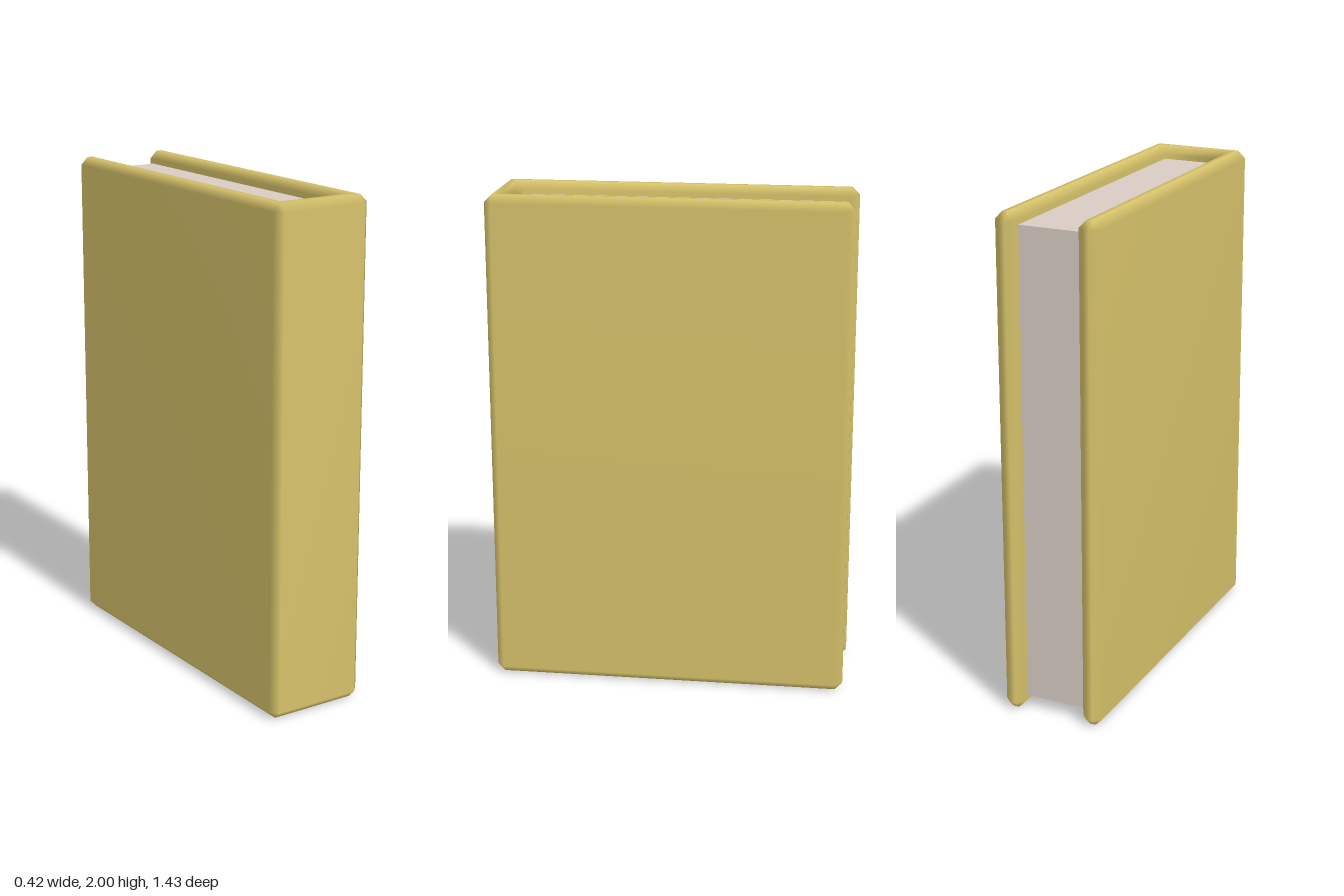
import * as THREE from 'three';
import { mergeVertices } from 'three/addons/utils/BufferGeometryUtils.js';

const HEIGHT = 2, BEVEL = 0.03;
const HALF_W = 0.21, HALF_D = 0.715, BOARD = 0.083;
const INNER_W = HALF_W - BOARD, INNER_Z = HALF_D - BOARD - 0.007;

// U-shaped outline of the cover in x and z, starting at the spine
const OUTLINE = [
  [-HALF_W, HALF_D], [HALF_W, HALF_D], [HALF_W, -HALF_D], [INNER_W, -HALF_D],
  [INNER_W, INNER_Z], [-INNER_W, INNER_Z], [-INNER_W, -HALF_D], [-HALF_W, -HALF_D],
].map(([x, z]) => new THREE.Vector2(x, z));

// Cover built from four rings: inset bottom, two chamfered walls, inset top
function coverGeometry() {
  const n = OUTLINE.length;
  const wall = [], inset = [];
  OUTLINE.forEach((p, i) => {
    const a = p.clone().sub(OUTLINE[(i + n - 1) % n]).normalize(); // incoming edge
    const b = OUTLINE[(i + 1) % n].clone().sub(p).normalize();     // outgoing edge
    const cut = (i === 4 || i === 5) ? 0 : BEVEL;                  // inner corners stay sharp
    wall.push(p.clone().addScaledVector(a, -cut), p.clone().addScaledVector(b, cut));
    const q = new THREE.Vector2(p.x + BEVEL * (a.y + b.y), p.y - BEVEL * (a.x + b.x));
    inset.push(q, q);
  });

  const rings = [[inset, 0], [wall, BEVEL], [wall, HEIGHT - BEVEL], [inset, HEIGHT]];
  const positions = [], index = [], m = 2 * n;
  for (const [ring, y] of rings) for (const p of ring) positions.push(p.x, y, p.y);

  // Walls and bevels
  for (let r = 0; r < 3; r++) {
    for (let i = 0; i < m; i++) {
      const j = (i + 1) % m, lo = r * m, hi = lo + m;
      index.push(lo + i, lo + j, hi + j, lo + i, hi + j, hi + i);
    }
  }
  // Flat ends
  const contour = inset.filter((_, i) => i % 2 === 0).map(p => new THREE.Vector2(p.x, -p.y));
  for (const [a, b, c] of THREE.ShapeUtils.triangulateShape(contour, [])) {
    index.push(3 * m + 2 * a, 3 * m + 2 * b, 3 * m + 2 * c);
    index.push(2 * a, 2 * c, 2 * b);
  }

  let geometry = new THREE.BufferGeometry();
  geometry.setAttribute('position', new THREE.Float32BufferAttribute(positions, 3));
  geometry.setIndex(index);
  geometry = mergeVertices(geometry);

  // Drop collapsed triangles, then smooth
  const id = geometry.index.array, kept = [];
  for (let i = 0; i < id.length; i += 3) {
    const [a, b, c] = [id[i], id[i + 1], id[i + 2]];
    if (a !== b && b !== c && c !== a) kept.push(a, b, c);
  }
  geometry.setIndex(kept);
  geometry.computeVertexNormals();
  return geometry;
}

export function createModel() {
  const coverMaterial = new THREE.MeshStandardMaterial({ color: 0xd6c26a });
  coverMaterial.name = 'mustard cover';
  const pageMaterial = new THREE.MeshStandardMaterial({ color: 0xd8ccc4 });
  pageMaterial.name = 'pale paper';

  const book = new THREE.Group();
  book.name = 'book';

  const cover = new THREE.Mesh(coverGeometry(), coverMaterial);
  cover.name = 'cover';
  book.add(cover);

  // Page block, set back from the cover edges
  const back = -0.665, front = INNER_Z + 0.01;
  const pages = new THREE.Mesh(
    new THREE.BoxGeometry(2 * INNER_W + 0.01, HEIGHT - 0.1, front - back), pageMaterial);
  pages.name = 'pages';
  pages.position.set(0, HEIGHT / 2, (front + back) / 2);
  book.add(pages);

  return book;
}
